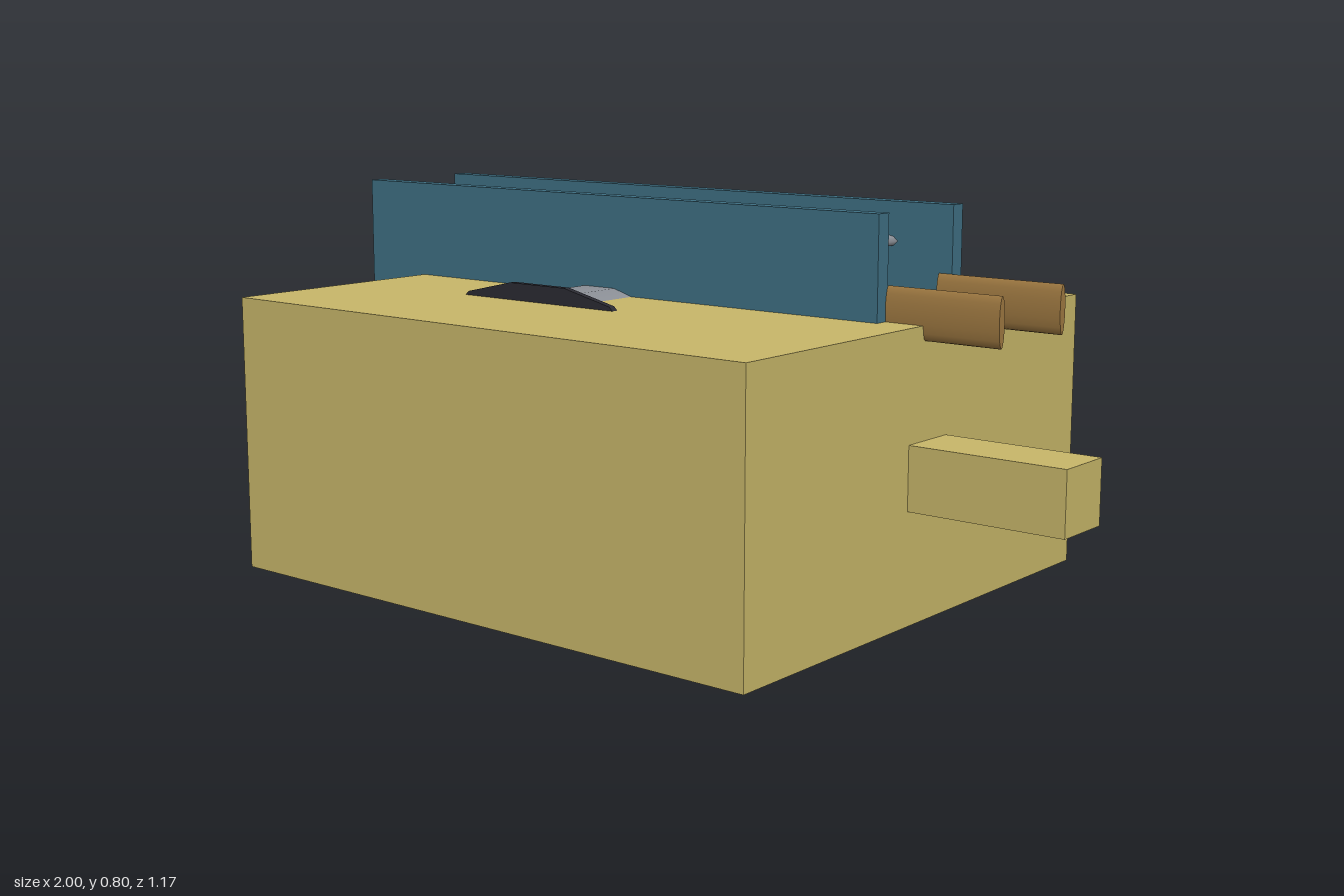
import * as THREE from 'three';

const mat = (color) => new THREE.MeshStandardMaterial({ color });

export function createModel() {
  const model = new THREE.Group();
  const tan = mat(0xc9b86a), teal = mat(0x3f7084), grey = mat(0x8d9198);
  const dark = mat(0x2b2b33), brown = mat(0xa07a42);

  const add = (name, geometry, material, x, y, z) => {
    const mesh = new THREE.Mesh(geometry, material);
    mesh.name = name;
    mesh.position.set(x, y, z);
    model.add(mesh);
  };
  const box = (name, material, [x0, x1], [y0, y1], [z0, z1]) =>
    add(name, new THREE.BoxGeometry(x1 - x0, y1 - y0, z1 - z0), material,
      (x0 + x1) / 2, (y0 + y1) / 2, (z0 + z1) / 2);

  // Flattened ten-sided drum lying along z, with a flat facet on top
  const flat = Math.cos(Math.PI / 10);
  const drum = (name, material, x, y, rx, halfHeight, z0, z1) => {
    const g = new THREE.CylinderGeometry(1, 1, 1, 10, 1, false, Math.PI / 2);
    g.rotateX(Math.PI / 2);
    g.scale(rx, halfHeight / flat, z1 - z0);
    add(name, g, material, x, y, (z0 + z1) / 2);
  };

  // Main block with the beam through it
  box('body', tan, [-0.665, 0.665], [0, 0.585], [-0.583, 0.583]);
  box('crossBeam', tan, [-1, 1], [0.23, 0.36], [-0.067, 0.067]);

  // Pair of side plates
  const cx = -0.128, cy = 0.548;
  box('frontPlate', teal, [-0.835, 0.58], [0.30, 0.795], [0.02, 0.055]);
  box('backPlate', teal, [-0.835, 0.58], [0.30, 0.795], [-0.25, -0.215]);

  // Wheel between the plates, its shaft and end disc
  drum('wheel', grey, cx, cy, 0.575, 0.172, -0.217, 0.022);
  drum('shaft', grey, cx, cy, 0.135, 0.051, 0.02, 0.24);
  drum('endDisc', dark, cx, cy, 0.245, 0.073, 0.235, 0.25);

  // Corner rollers
  for (const sx of [-1, 1])
    for (const sy of [-1, 1])
      drum('roller', grey, cx + sx * 0.523, cy + sy * 0.165, 0.0545, 0.015, -0.217, 0.022);

  // Flattened handles at the end of the plates
  for (const z of [0.017, -0.215]) {
    const g = new THREE.CylinderGeometry(1, 1, 0.28, 16);
    g.rotateZ(Math.PI / 2);
    g.scale(1, 0.05, 0.01);
    add('handle', g, brown, 0.69, 0.605, z);
  }
  return model;
}
